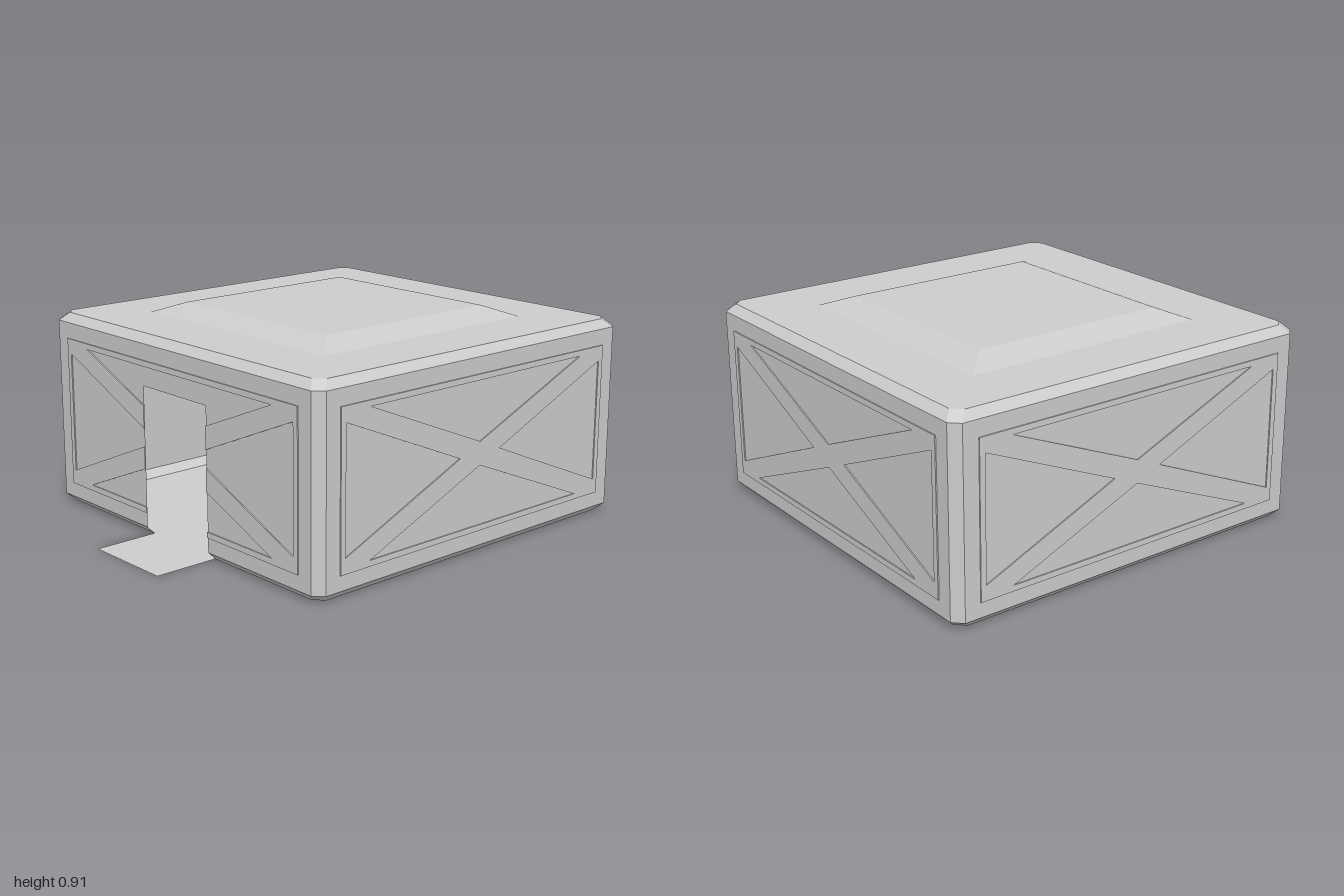
import * as THREE from 'three';

const H = 0.87;       // half width of the square shell
const C = 0.04;       // corner chamfer
const DOOR = 0.207;   // half width of the doorway
const DOOR_TOP = 0.65;

const mat = new THREE.MeshStandardMaterial({ color: 0xcccccc, flatShading: true, side: THREE.DoubleSide });

function mesh(geometry, name, parent) {
  const m = new THREE.Mesh(geometry, mat);
  m.name = name;
  parent.add(m);
  return m;
}

// Geometry from loops of corners, each a convex face, counter-clockwise from outside
function facesGeometry(faces) {
  const pos = [];
  for (const f of faces)
    for (let i = 1; i < f.length - 1; i++) pos.push(...f[0], ...f[i], ...f[i + 1]);
  const g = new THREE.BufferGeometry();
  g.setAttribute('position', new THREE.Float32BufferAttribute(pos, 3));
  g.computeVertexNormals();
  return g;
}

// Square outline with cut corners; the first edge is the front (+z) one
function ring(h, y) {
  const a = h - C;
  return [[-a, h], [a, h], [h, a], [h, -a], [a, -h], [-a, -h], [-h, -a], [-h, a]]
    .map(([x, z]) => [x, y, z]);
}

// Hollow chamfered shell with a doorway in the front
function shellGeometry() {
  const rings = [ring(H - 0.035, 0), ring(H, 0.035), ring(H, 0.83), ring(H - 0.035, 0.865)];
  const faces = [[...rings[0]].reverse(), rings[3]];
  const at = (p, x, y = p[1]) => [x, y, p[2]];
  for (let r = 0; r < 3; r++) {
    const lo = rings[r], hi = rings[r + 1];
    for (let i = 0; i < 8; i++) {
      const j = (i + 1) % 8;
      if (i === 0 && r < 2) {
        // front wall and lower chamfer, left and right of the doorway
        faces.push([lo[0], at(lo[0], -DOOR), at(hi[0], -DOOR), hi[0]]);
        faces.push([at(lo[1], DOOR), lo[1], hi[1], at(hi[1], DOOR)]);
        // wall above the doorway
        if (r === 1) faces.push([at(lo[0], -DOOR, DOOR_TOP), at(lo[0], DOOR, DOOR_TOP), at(hi[0], DOOR), at(hi[0], -DOOR)]);
      } else faces.push([lo[i], lo[j], hi[j], hi[i]]);
    }
  }
  return facesGeometry(faces);
}

const toShape = (pts) => new THREE.Shape(pts.map(([x, y]) => new THREE.Vector2(x, y)));
const extrude = (shape) => new THREE.ExtrudeGeometry(shape, { depth: 0.005, bevelEnabled: false });

// Rectangular frame with a diagonal cross
function braceGeometry() {
  const s = toShape([[-0.76, 0.1], [0.76, 0.1], [0.76, 0.76], [-0.76, 0.76]]);
  s.holes = [
    [[-0.61, 0.735], [0.61, 0.735], [0, 0.48]],
    [[-0.61, 0.125], [0.61, 0.125], [0, 0.38]],
    [[0.735, 0.165], [0.735, 0.695], [0.116, 0.43]],
    [[-0.735, 0.165], [-0.735, 0.695], [-0.116, 0.43]],
  ].map(toShape);
  return extrude(s);
}

// The same frame interrupted by the doorway
function doorBraceGeometry() {
  const d = DOOR;
  const half = [[d, 0.1], [0.76, 0.1], [0.76, 0.76]];
  const inner = [[0.61, 0.735], [d, 0.567], [d, 0.469], [0.735, 0.695], [0.735, 0.165],
    [d, 0.391], [d, 0.293], [0.61, 0.125], [d, 0.125]];
  const mirror = (pts) => pts.map(([x, y]) => [-x, y]).reverse();
  return extrude(toShape([...half, ...mirror(half), ...mirror(inner), ...inner]));
}

export function createModel() {
  const model = new THREE.Group();
  model.name = 'shelter';
  const body = new THREE.Group();
  body.name = 'body';
  body.position.z = -0.125;
  model.add(body);

  mesh(shellGeometry(), 'shell', body);

  // Raised roof panel with sloping sides
  const roof = new THREE.CylinderGeometry(0.45 * Math.SQRT2, 0.565 * Math.SQRT2, 0.047, 4, 1);
  roof.rotateY(Math.PI / 4);
  mesh(roof, 'roofPanel', body).position.y = 0.865 + 0.0235;

  // Cross braces on the four walls
  ['frontBrace', 'leftBrace', 'backBrace', 'rightBrace'].forEach((name, i) => {
    const g = i === 0 ? doorBraceGeometry() : braceGeometry();
    g.translate(0, 0, H);
    mesh(g, name, body).rotation.y = i * Math.PI / 2;
  });

  // Flat entrance ramp
  const ramp = new THREE.PlaneGeometry(2 * DOOR, 0.29);
  ramp.rotateX(-Math.PI / 2);
  mesh(ramp, 'entranceRamp', model).position.set(0, 0, 0.855);

  return model;
}
